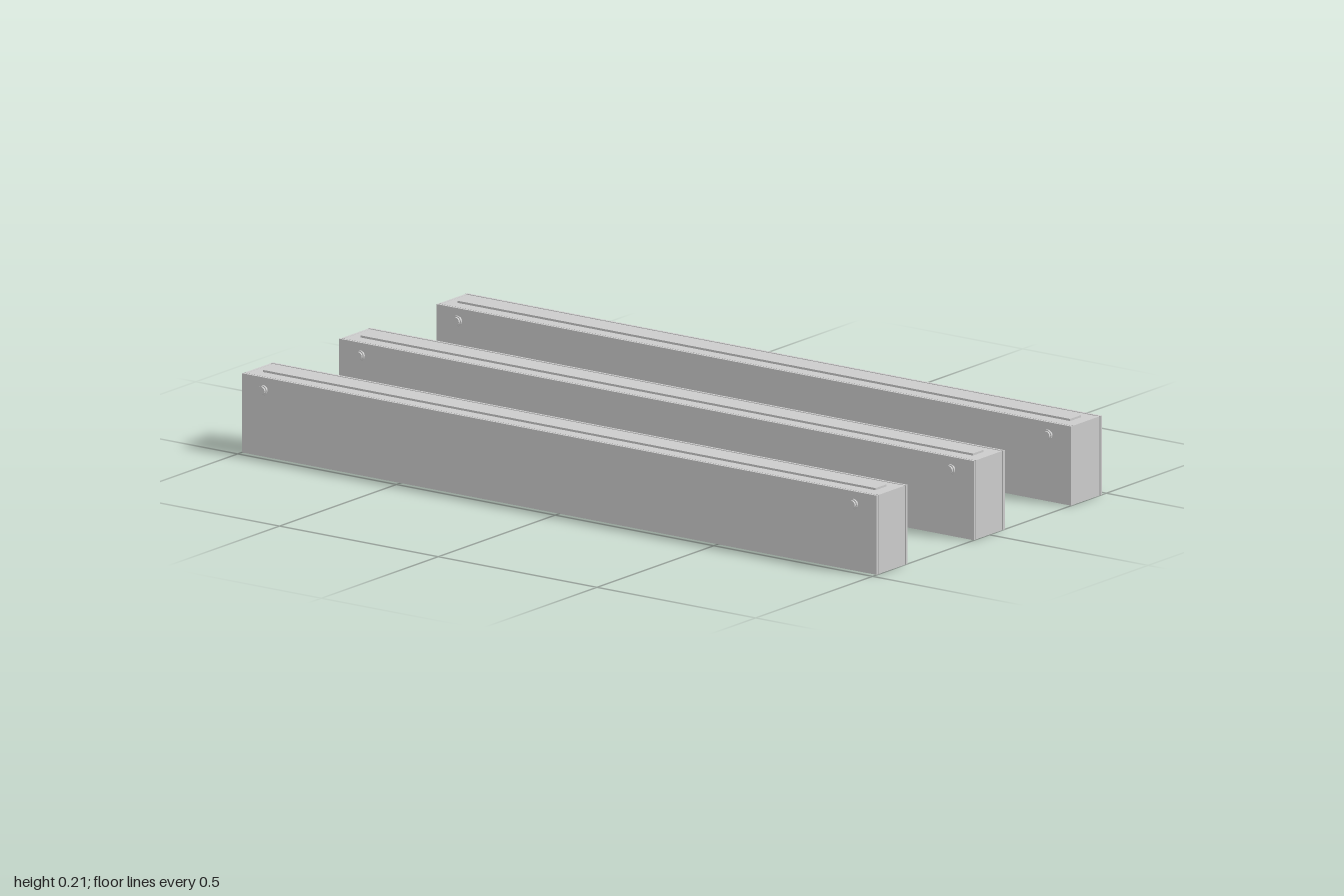
import * as THREE from 'three';

const material = new THREE.MeshStandardMaterial({ color: 0xcccccc, flatShading: true });

function add(parent, name, geometry, x, y, z) {
  const mesh = new THREE.Mesh(geometry, material);
  mesh.name = name;
  mesh.position.set(x, y, z);
  parent.add(mesh);
  return mesh;
}

const box = (w, h, d) => new THREE.BoxGeometry(w, h, d);

// Short pin with a collar, pointing outwards along z
function addPin(parent, x, side) {
  const pin = new THREE.Group();
  pin.name = 'pin';
  const shaft = new THREE.CylinderGeometry(0.011, 0.011, 0.015, 16).rotateX(Math.PI / 2);
  const collar = new THREE.CylinderGeometry(0.014, 0.014, 0.004, 16).rotateX(Math.PI / 2);
  add(pin, 'pinShaft', shaft, 0, 0, side * 0.0725);
  add(pin, 'pinCollar', collar, 0, 0, side * 0.073);
  pin.position.set(x, 0.176, 0);
  parent.add(pin);
}

// Hollow beam, open underneath
function createBeam() {
  const beam = new THREE.Group();
  beam.name = 'beam';
  const height = 0.208, wall = 0.007;

  // Long side walls, end walls and the pins
  for (const side of [-1, 1]) {
    add(beam, 'sideWall', box(2, height, wall), 0, height / 2, side * (0.066 - wall / 2));
    add(beam, 'endWall', box(wall, height, 0.112), side * (0.999 - wall / 2), height / 2, 0);
    // Recessed seam between side walls and the inner shell
    add(beam, 'seam', box(1.988, height - 0.004, 0.004), 0, height / 2, side * 0.0575);
    for (const x of [-0.93, 0.93]) addPin(beam, x, side);
  }

  // Top plate with a raised strip
  add(beam, 'topPlate', box(1.998, wall, 0.112), 0, height - wall / 2 - 0.0005, 0);
  add(beam, 'topStrip', box(1.93, 0.008, 0.046), 0, height + 0.001, 0);
  return beam;
}

export function createModel() {
  const model = new THREE.Group();
  model.name = 'beams';
  for (const z of [-0.416, 0, 0.416]) {
    const beam = createBeam();
    beam.position.z = z;
    model.add(beam);
  }
  return model;
}
